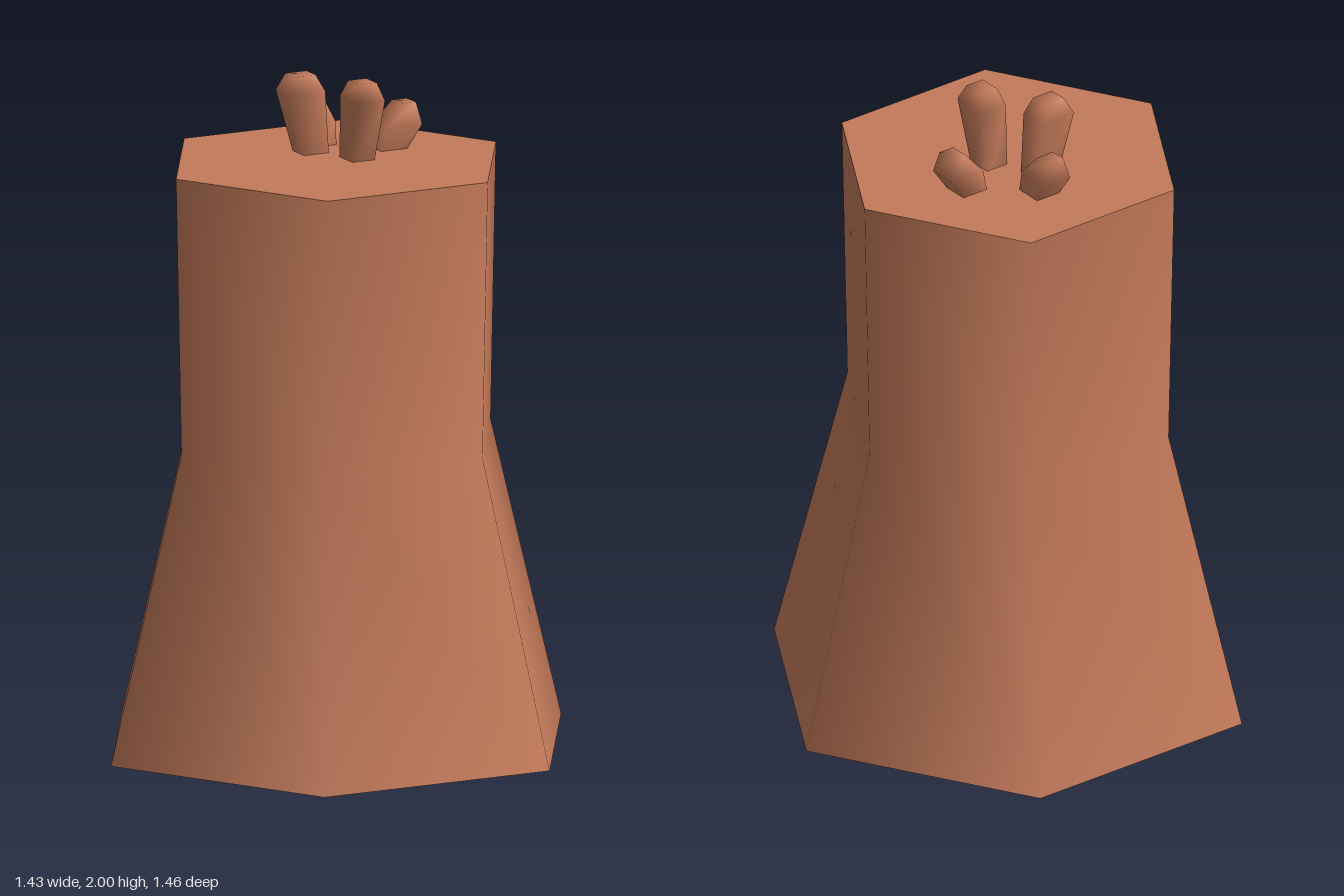
import * as THREE from 'three';
import { mergeVertices } from 'three/addons/utils/BufferGeometryUtils.js';

const TWIST = -0.218;
const TOP = 1.76;

// Cross-sections of a splinter: height, inner edge, outer edge, width
const TALL = [[1.7, 0, 0.07, 0.07], [1.95, 0.02, 0.14, 0.088], [2.0, 0.045, 0.115, 0.06]];
const SHORT = [[1.7, 0, 0.06, 0.075], [1.83, 0.03, 0.148, 0.09], [1.895, 0.085, 0.135, 0.06]];

// Reshape a smooth-shaded box by its three cross-sections
function splinterGeometry(rows) {
  let geo = new THREE.BoxGeometry(1, 1, 1, 1, 2, 1);
  geo.deleteAttribute('normal');
  geo.deleteAttribute('uv');
  geo = mergeVertices(geo);
  const p = geo.attributes.position;
  for (let i = 0; i < p.count; i++) {
    const [y, inner, outer, width] = rows[Math.round((p.getY(i) + 0.5) * 2)];
    p.setXYZ(i, p.getX(i) * width, y, p.getZ(i) < 0 ? inner : outer);
  }
  geo.computeVertexNormals();
  return geo;
}

export function createModel() {
  const model = new THREE.Group();
  const bark = new THREE.MeshStandardMaterial({ color: 0xc47a5a });
  bark.name = 'reddish brown wood';

  const add = (name, geometry) => {
    const mesh = new THREE.Mesh(geometry, bark);
    mesh.name = name;
    model.add(mesh);
    return mesh;
  };

  // Six-sided trunk, flared below the waist
  const profile = [[0.75, 0], [0.515, 0.92], [0.533, TOP]].map(([r, y]) => new THREE.Vector2(r, y));
  add('trunk', new THREE.LatheGeometry(profile, 6, TWIST));

  // Flat cut top and underside
  const cut = add('cutTop', new THREE.CircleGeometry(0.533, 6, TWIST - Math.PI / 2).rotateX(-Math.PI / 2));
  cut.position.y = TOP;
  add('underside', new THREE.CircleGeometry(0.75, 6, Math.PI / 2 - TWIST).rotateX(Math.PI / 2));

  // Four splinters leaning outwards from the cut
  const splinters = [
    ['frontSplinter', TALL, -0.125, -0.06, 0],
    ['leftSplinter', TALL, -0.025, -0.075, 1],
    ['backSplinter', SHORT, -0.045, -0.172, 2],
    ['rightSplinter', SHORT, -0.152, -0.09, 3],
  ];
  for (const [name, rows, x, z, turn] of splinters) {
    const mesh = add(name, splinterGeometry(rows));
    mesh.position.set(x, 0, z);
    mesh.rotation.y = TWIST + turn * Math.PI / 2;
  }
  return model;
}
